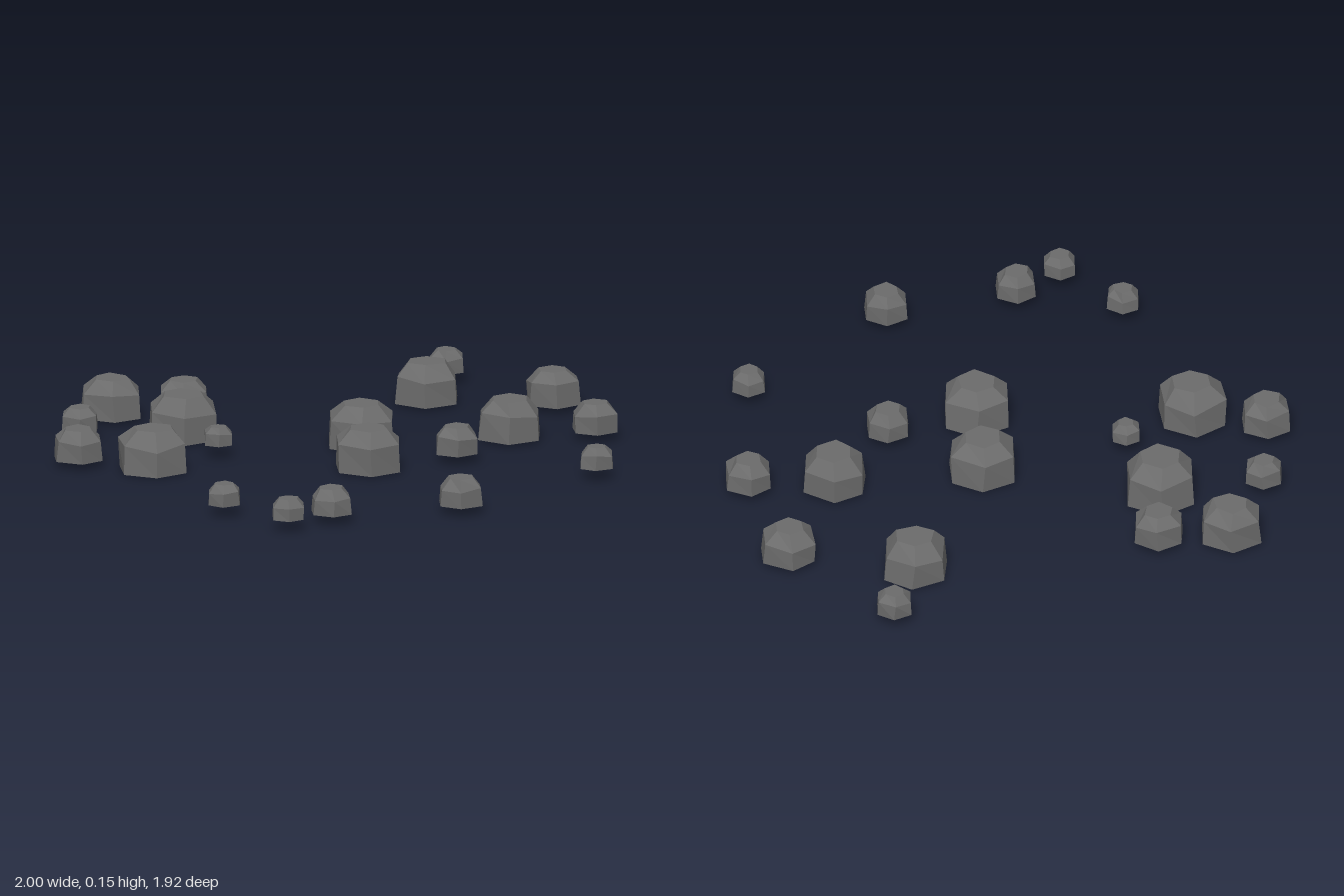
import * as THREE from 'three';

// Each rock: x, z, radius, turn in degrees
const ROCKS = [
  [-0.457, -0.869, 0.115, 0], [-0.233, -0.762, 0.092, 5], [-0.714, -0.67, 0.07, 5],
  [-0.393, -0.516, 0.133, -2], [-0.907, -0.377, 0.093, -3], [-0.735, -0.179, 0.128, -4],
  [-0.441, -0.217, 0.054, 0], [0.056, -0.083, 0.128, 0], [-0.104, 0.211, 0.126, 0],
  [0.217, 0.27, 0.081, 0], [0.57, -0.468, 0.122, 4], [0.783, -0.676, 0.067, 0],
  [0.896, -0.174, 0.102, -3], [0.53, 0.117, 0.118, 4], [0.789, 0.259, 0.086, -4],
  [-0.864, 0.479, 0.062, 4], [-0.789, 0.767, 0.062, 0], [-0.602, 0.751, 0.077, -3],
  [-0.158, 0.88, 0.083, 0], [0.489, 0.735, 0.064, 3],
];
const SIDES = 6;
const CENTRE_Y = 0.0765;

// Small seeded generator, returns -1 to 1
function seeded(seed) {
  let s = seed * 7919 + 17;
  return () => {
    s = (s * 16807) % 2147483647;
    return (s / 2147483647) * 2 - 1;
  };
}

// Chiselled six-sided rock: flat base, upright walls, sloped shoulders, flat top
function rockGeometry(r, turn, seed) {
  const rand = seeded(seed);
  for (let i = 0; i < 5; i++) rand();
  const half = r * 0.575;
  // Rings: radius, radius jitter, height (-1 to 1), height jitter
  const rings = [
    [0.99, 0.03, -1, 0],
    [0.95, 0.04, 0.28, 0.14],
    [0.56, 0.07, 1, 0],
  ];
  const positions = [];
  const index = [];
  for (const [radius, dr, y, dy] of rings) {
    for (let i = 0; i < SIDES; i++) {
      const a = turn + (i / SIDES) * Math.PI * 2 + rand() * 0.06;
      const d = r * (radius + dr * rand());
      positions.push(Math.cos(a) * d, half * (y + dy * rand()), Math.sin(a) * d);
    }
  }
  // Walls and shoulders
  for (let k = 0; k < rings.length - 1; k++) {
    for (let i = 0; i < SIDES; i++) {
      const j = (i + 1) % SIDES;
      const a = k * SIDES + i, b = k * SIDES + j;
      index.push(a, a + SIDES, b + SIDES, a, b + SIDES, b);
    }
  }
  // Base and top caps
  const t = (rings.length - 1) * SIDES;
  for (let i = 1; i < SIDES - 1; i++) {
    index.push(0, i, i + 1);
    index.push(t, t + i + 1, t + i);
  }
  const indexed = new THREE.BufferGeometry();
  indexed.setAttribute('position', new THREE.Float32BufferAttribute(positions, 3));
  indexed.setIndex(index);
  const geometry = indexed.toNonIndexed();
  geometry.computeVertexNormals();
  return geometry;
}

export function createModel() {
  const group = new THREE.Group();
  group.name = 'scatteredRocks';
  const stone = new THREE.MeshStandardMaterial({ color: 0x6b6b6b, flatShading: true });
  stone.name = 'grey stone';

  ROCKS.forEach(([x, z, r, turn], i) => {
    const rock = new THREE.Mesh(rockGeometry(r, THREE.MathUtils.degToRad(turn), i + 1), stone);
    rock.name = `rock${i + 1}`;
    rock.position.set(x, CENTRE_Y, z);
    group.add(rock);
  });
  return group;
}
